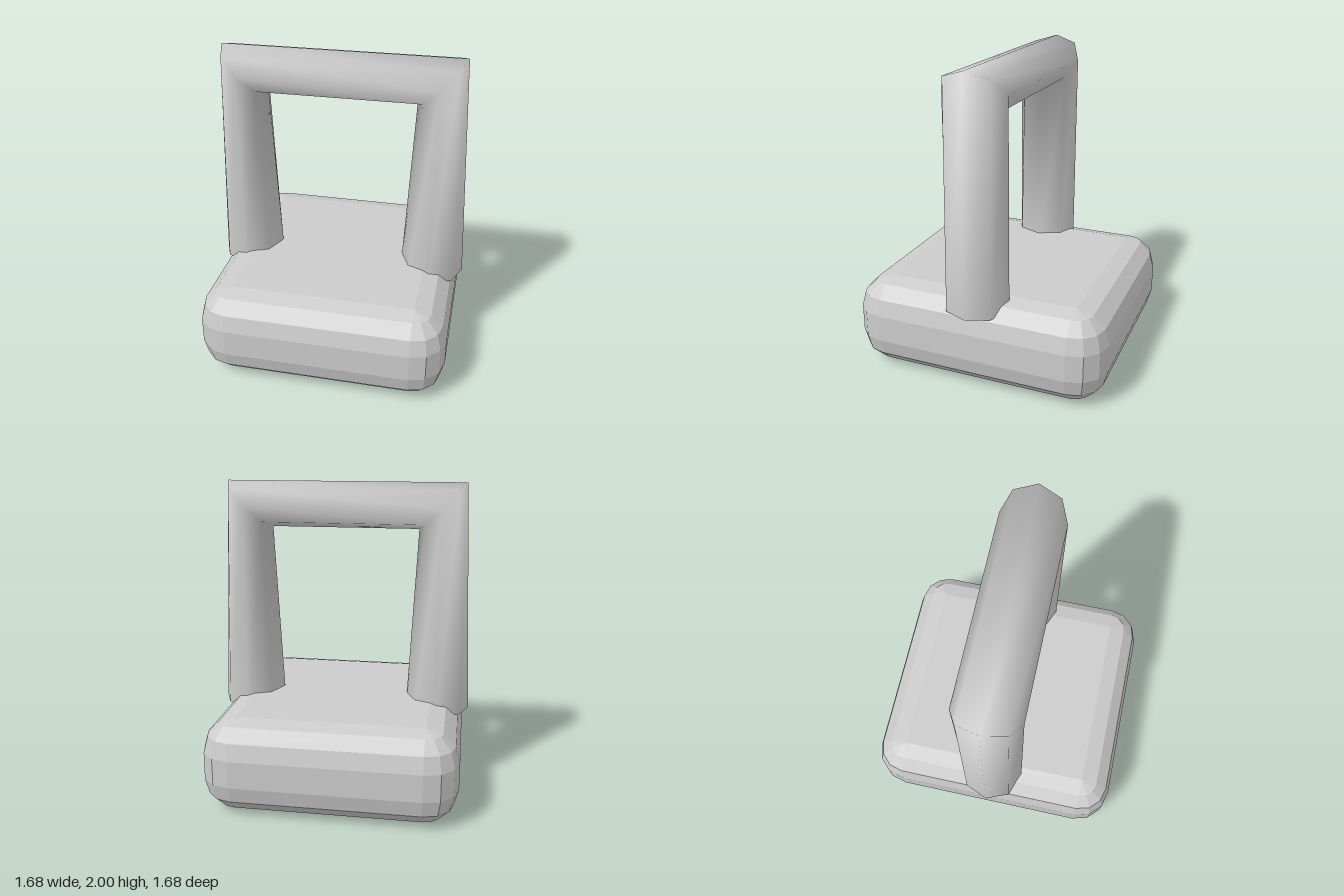
import * as THREE from 'three';
import { ConvexGeometry } from 'three/addons/geometries/ConvexGeometry.js';

// Box with three-step rounded edges: hull of a faceted ball at every corner.
function roundedBlock(w, h, d, r, steps) {
  const points = [];
  for (const sx of [-1, 1]) for (const sy of [-1, 1]) for (const sz of [-1, 1]) {
    for (let i = 0; i <= steps; i++) {
      const lat = (i / steps) * Math.PI / 2;
      for (let j = 0; j <= (i === steps ? 0 : steps); j++) {
        const lon = (j / steps) * Math.PI / 2;
        points.push(new THREE.Vector3(
          sx * (w / 2 - r + r * Math.cos(lat) * Math.cos(lon)),
          sy * (h / 2 - r + r * Math.sin(lat)),
          sz * (d / 2 - r + r * Math.cos(lat) * Math.sin(lon))
        ));
      }
    }
  }
  return new ConvexGeometry(points);
}

// Skin through equal octagons; each ring has a centre and an outward direction in the xy plane.
function octagonTube(rings, radius, sides) {
  const positions = [], index = [];
  rings.forEach(([x, y, ux, uy], i) => {
    for (let j = 0; j < sides; j++) {
      const a = (j / sides) * Math.PI * 2;
      const c = radius * Math.cos(a);
      positions.push(x + c * ux, y + c * uy, radius * Math.sin(a));
      if (i === rings.length - 1) continue;
      const k = (j + 1) % sides;
      const p = i * sides + j, q = i * sides + k;
      index.push(p, q, q + sides, p, q + sides, p + sides);
    }
  });
  const geometry = new THREE.BufferGeometry();
  geometry.setAttribute('position', new THREE.Float32BufferAttribute(positions, 3));
  geometry.setIndex(index);
  geometry.computeVertexNormals();
  return geometry;
}

export function createModel() {
  const model = new THREE.Group();
  model.name = 'handledBlock';
  const facets = new THREE.MeshStandardMaterial({ color: 0xcccccc, flatShading: true });
  const smooth = new THREE.MeshStandardMaterial({ color: 0xcccccc });

  // Rounded base block
  const base = new THREE.Mesh(roundedBlock(1.6, 0.595, 1.68, 0.21, 3), facets);
  base.name = 'base';
  base.position.y = 0.2975;
  model.add(base);

  // Handle: two legs and a crossbar joined by mitred corners
  const handle = new THREE.Group();
  handle.name = 'handle';
  const legX = 0.63, footY = 0.51, cornerY = 1.852, radius = 0.21, m = Math.SQRT1_2;
  const bar = new THREE.Mesh(octagonTube([
    [-legX, footY, -1, 0],
    [-legX, cornerY, -m, m],
    [legX, cornerY, m, m],
    [legX, footY, 1, 0],
  ], radius, 8), smooth);
  bar.name = 'handleBar';
  handle.add(bar);

  // Flat undersides of the legs
  for (const side of [-1, 1]) {
    const cap = new THREE.Mesh(new THREE.CircleGeometry(radius, 8).rotateX(Math.PI / 2), facets);
    cap.name = side > 0 ? 'leftLegEnd' : 'rightLegEnd';
    cap.position.set(side * legX, footY, 0);
    handle.add(cap);
  }
  model.add(handle);
  return model;
}
